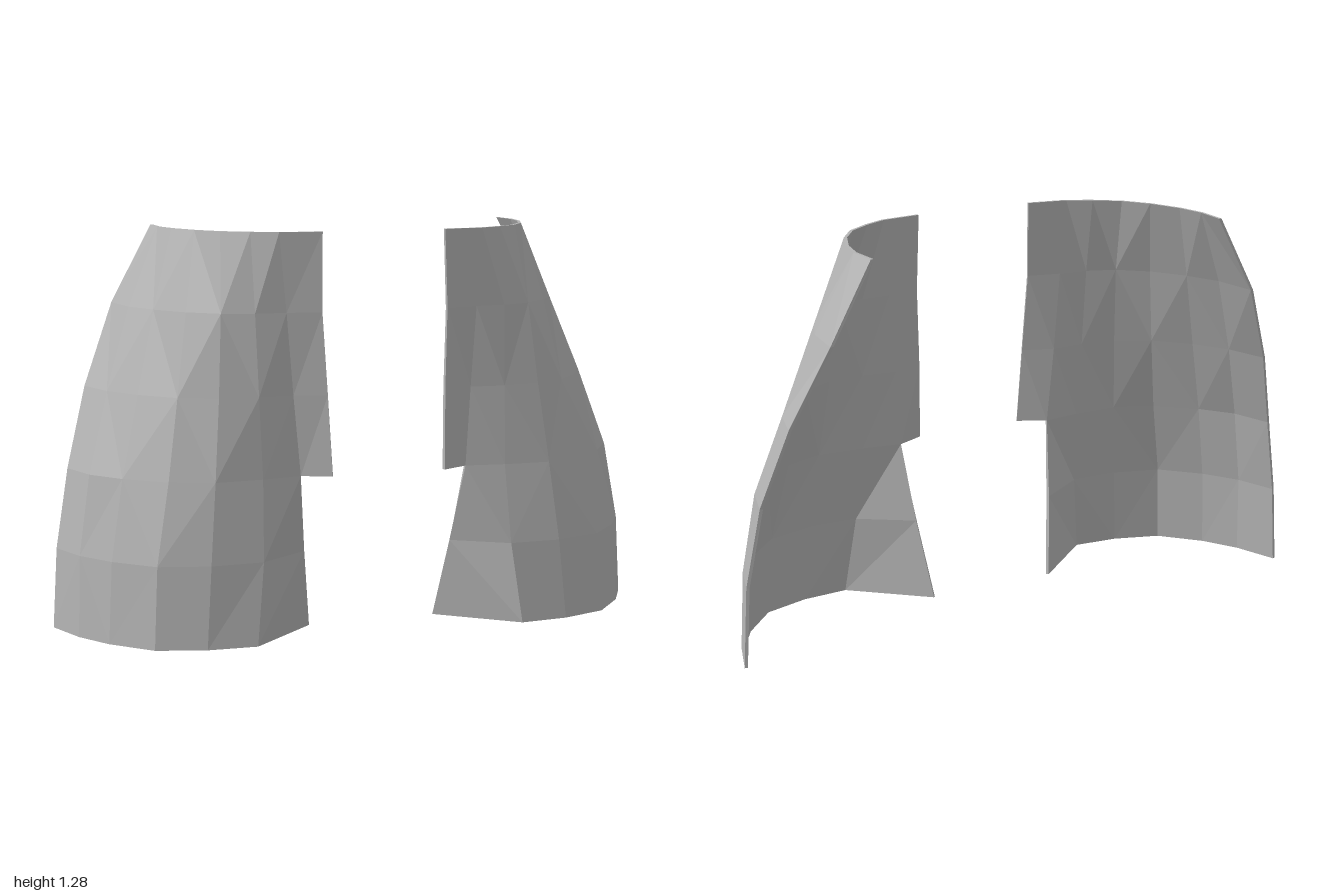
import * as THREE from 'three';

// Horizontal sections from bottom to top: [x, z] from the inner edge round to the rear edge.
// The two lowest sections lack the narrow front strip, which leaves the step.
const SECTIONS = [
  { y: 0, pts: [null, [0.215, 0.1], [0.45, 0.305], [0.61, 0.295], [0.765, 0.245], [0.88, 0.12], [0.95, 0], [1, -0.15]] },
  { y: 0.26, pts: [null, [0.25, 0.16], [0.42, 0.275], [0.59, 0.277], [0.75, 0.23], [0.865, 0.11], [0.94, -0.01], [0.985, -0.15]] },
  { y: 0.515, pts: [[0.19, 0.265], [0.28, 0.22], [0.41, 0.24], [0.565, 0.245], [0.7, 0.19], [0.82, 0.08], [0.9, -0.03], [0.94, -0.17]] },
  { y: 0.77, pts: [[0.198, 0.245], [0.3, 0.21], [0.415, 0.22], [0.54, 0.205], [0.655, 0.14], [0.755, 0.03], [0.825, -0.09], [0.865, -0.235]] },
  { y: 1.03, pts: [[0.21, 0.23], [0.32, 0.207], [0.42, 0.2], [0.52, 0.165], [0.61, 0.085], [0.685, -0.03], [0.735, -0.15], [0.755, -0.307]] },
  { y: 1.28, pts: [[0.205, 0.22], [0.34, 0.2], [0.42, 0.157], [0.5, 0.097], [0.56, 0.01], [0.605, -0.1], [0.625, -0.2], [0.62, -0.31]] },
];
const THICKNESS = 0.01;

// Thin faceted shell; side is +1 for the left panel and -1 for the right.
function panelGeometry(side) {
  const outer = [], inner = [], tris = [];
  const cols = SECTIONS[0].pts.length;
  SECTIONS.forEach(({ y, pts }) => {
    pts.forEach((p, c) => {
      if (!p) { outer.push(null); inner.push(null); return; }
      // Inward direction is square to the section's local tangent.
      const before = pts[c - 1] || p, after = pts[c + 1] || p;
      const tx = after[0] - before[0], tz = after[1] - before[1];
      const k = THICKNESS / Math.hypot(tx, tz);
      outer.push([side * p[0], y, p[1]]);
      inner.push([side * (p[0] + tz * k), y, p[1] - tx * k]);
    });
  });

  // Outer facets, skipping the missing cells
  for (let r = 0; r < SECTIONS.length - 1; r++) {
    for (let c = 0; c < cols - 1; c++) {
      const a = r * cols + c, b = a + 1, d = a + cols, e = d + 1;
      if (!outer[a] || !outer[d]) continue;
      if (c > 1 && (r + c) % 2) tris.push([a, b, e], [a, e, d]);
      else tris.push([a, b, d], [b, e, d]);
    }
  }

  const positions = [];
  const face = (p, q, s) => positions.push(...p, ...(side > 0 ? q : s), ...(side > 0 ? s : q));
  const edges = new Set();
  tris.forEach(([a, b, c]) => {
    face(outer[a], outer[b], outer[c]);
    face(inner[a], inner[c], inner[b]);
    edges.add(`${a},${b}`).add(`${b},${c}`).add(`${c},${a}`);
  });
  // Rim along every edge that belongs to only one facet
  edges.forEach((key) => {
    const [a, b] = key.split(',').map(Number);
    if (edges.has(`${b},${a}`)) return;
    face(outer[a], inner[b], outer[b]);
    face(outer[a], inner[a], inner[b]);
  });

  const geometry = new THREE.BufferGeometry();
  geometry.setAttribute('position', new THREE.Float32BufferAttribute(positions, 3));
  geometry.computeVertexNormals(); // unshared corners give flat facets
  return geometry;
}

export function createModel() {
  const model = new THREE.Group();
  model.name = 'curvedPanelPair';
  const grey = new THREE.MeshStandardMaterial({ color: 0xb4b4b4 });
  grey.name = 'light grey';
  for (const [name, side] of [['leftPanel', 1], ['rightPanel', -1]]) {
    const panel = new THREE.Mesh(panelGeometry(side), grey);
    panel.name = name;
    model.add(panel);
  }
  return model;
}
